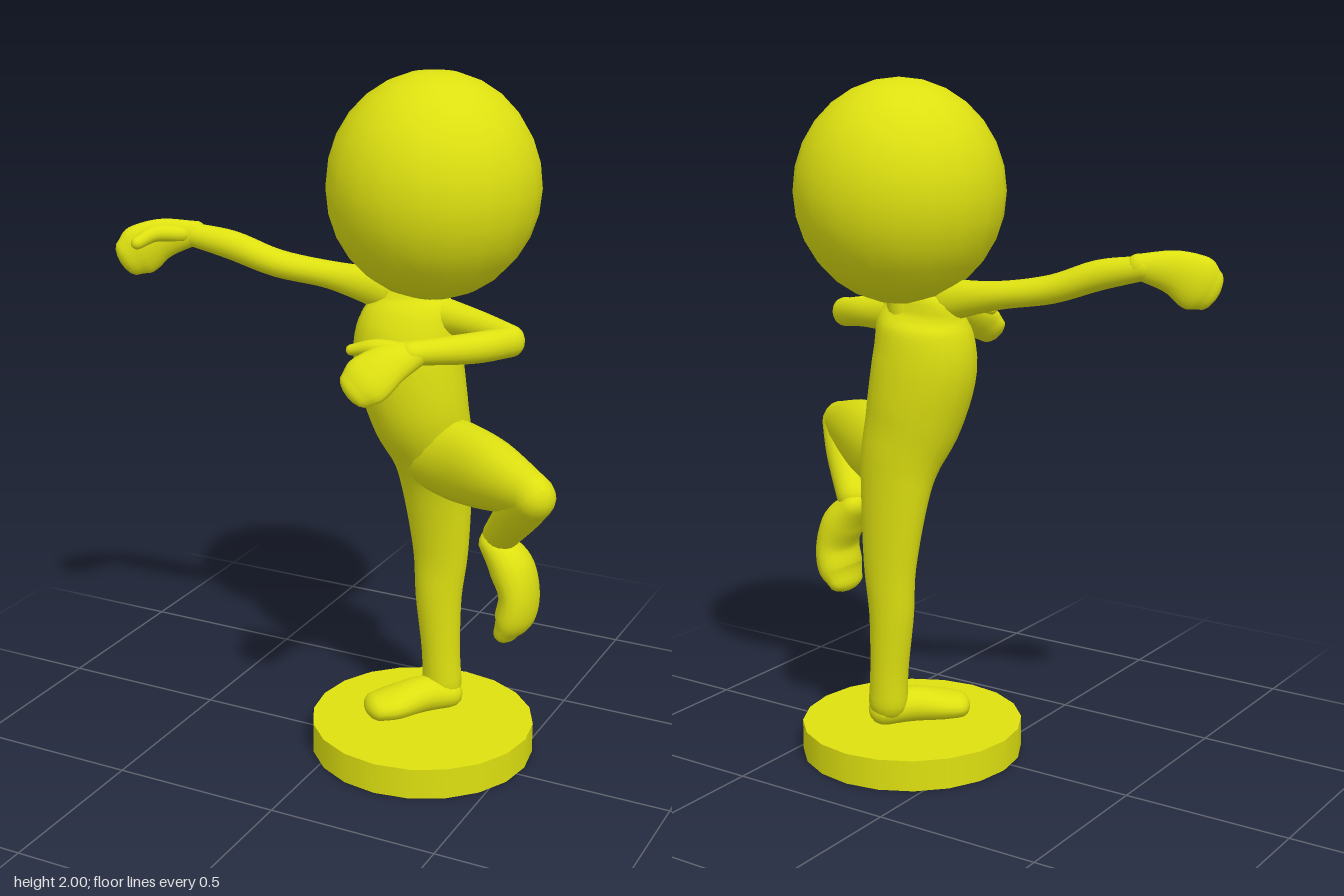
import * as THREE from 'three';

const material = new THREE.MeshStandardMaterial({ color: 0xdde010, roughness: 0.8 });
const SIDES = 18;

// Smooth tube with an oval section and rounded ends.
// points: [x, y, z, a, b]; b is the radius along ref, a the radius across it.
function limb(name, points, ref, steps = 5) {
  const up = new THREE.Vector3(...ref);
  const path = new THREE.CatmullRomCurve3(points.map(p => new THREE.Vector3(p[0], p[1], p[2])), false, 'catmullrom');
  const size = new THREE.CatmullRomCurve3(points.map(p => new THREE.Vector3(p[3], p[4], 0)), false, 'catmullrom');
  const count = (points.length - 1) * steps;
  const rings = [];
  const addRing = (u, angle, sign) => {
    const t = path.getTangent(u), s = size.getPoint(u);
    const c = path.getPoint(u).addScaledVector(t, sign * Math.min(s.x, s.y) * Math.sin(angle));
    const k = Math.cos(angle);
    rings.push({ c, t, a: s.x * k, b: s.y * k });
  };
  for (let i = 4; i > 0; i--) addRing(0, i * Math.PI / 8, -1);
  for (let i = 0; i <= count; i++) addRing(i / count, 0, 0);
  for (let i = 1; i <= 4; i++) addRing(1, i * Math.PI / 8, 1);

  const position = [], index = [];
  rings.forEach(({ c, t, a, b }, i) => {
    const side = up.clone().cross(t).normalize();
    const top = t.clone().cross(side);
    for (let j = 0; j < SIDES; j++) {
      const w = j / SIDES * Math.PI * 2;
      const v = c.clone().addScaledVector(side, a * Math.cos(w)).addScaledVector(top, b * Math.sin(w));
      position.push(v.x, v.y, v.z);
      if (i === rings.length - 1) continue;
      const A = i * SIDES + j, B = i * SIDES + (j + 1) % SIDES;
      index.push(A, B, A + SIDES, B, B + SIDES, A + SIDES);
    }
  });
  const geometry = new THREE.BufferGeometry();
  geometry.setAttribute('position', new THREE.Float32BufferAttribute(position, 3));
  geometry.setIndex(index);
  geometry.computeVertexNormals();
  const mesh = new THREE.Mesh(geometry, material);
  mesh.name = name;
  return mesh;
}

export function createModel() {
  const model = new THREE.Group();
  model.name = 'balancingFigure';

  // Round stand
  const base = new THREE.Mesh(new THREE.CylinderGeometry(0.33, 0.33, 0.092, 20), material);
  base.name = 'base';
  base.position.set(0.215, 0.046, -0.045);
  model.add(base);

  // Large plain head
  const head = new THREE.Mesh(new THREE.SphereGeometry(0.3, 20, 14), material);
  head.name = 'head';
  head.scale.set(1, 1.05, 1);
  head.position.set(0.2, 1.685, -0.103);
  model.add(head);

  model.add(
    limb('neck', [[0.18, 1.32, -0.09, 0.06, 0.06], [0.2, 1.45, -0.1, 0.05, 0.05]], [0, 0, 1]),

    // Torso, running down into the standing leg
    limb('torsoAndStandingLeg', [
      [0.14, 1.365, -0.085, 0.125, 0.06],
      [0.145, 1.31, -0.075, 0.145, 0.11],
      [0.145, 1.2, -0.067, 0.16, 0.135],
      [0.175, 1.05, -0.075, 0.147, 0.135],
      [0.205, 0.92, -0.105, 0.125, 0.105],
      [0.215, 0.8, -0.125, 0.107, 0.08],
      [0.225, 0.6, -0.137, 0.085, 0.062],
      [0.222, 0.45, -0.135, 0.07, 0.06],
      [0.232, 0.28, -0.135, 0.058, 0.056],
      [0.238, 0.17, -0.135, 0.06, 0.055],
    ], [0, 0, 1]),
    limb('standingFoot', [
      [0.255, 0.14, -0.135, 0.055, 0.045],
      [0.2, 0.15, -0.07, 0.06, 0.052],
      [0.14, 0.14, 0.0, 0.072, 0.044],
      [0.105, 0.135, 0.035, 0.065, 0.038],
    ], [0, 1, 0]),

    // Raised leg
    limb('raisedThigh', [
      [0.23, 0.92, -0.09, 0.1, 0.115],
      [0.34, 0.92, -0.03, 0.095, 0.118],
      [0.47, 0.93, 0.055, 0.085, 0.1],
      [0.615, 0.93, 0.15, 0.06, 0.062],
    ], [0, 1, 0]),
    limb('raisedShin', [
      [0.62, 0.925, 0.152, 0.06, 0.06],
      [0.555, 0.85, 0.09, 0.062, 0.062],
      [0.47, 0.74, 0.01, 0.05, 0.05],
    ], [0, 0, 1]),
    limb('raisedFoot', [
      [0.452, 0.715, 0.005, 0.06, 0.042],
      [0.505, 0.655, 0.01, 0.078, 0.06],
      [0.533, 0.58, 0.012, 0.084, 0.053],
      [0.525, 0.51, 0.012, 0.087, 0.054],
      [0.505, 0.465, 0.012, 0.074, 0.036],
    ], [1, 0, 0]),

    // Right arm, stretched out sideways
    limb('rightArm', [
      [0.06, 1.385, -0.07, 0.05, 0.06],
      [-0.1, 1.41, -0.06, 0.042, 0.04],
      [-0.25, 1.435, -0.025, 0.045, 0.04],
      [-0.38, 1.48, 0.005, 0.042, 0.042],
      [-0.5, 1.505, 0.03, 0.034, 0.034],
    ], [0, 1, 0]),
    limb('rightHand', [
      [-0.49, 1.51, 0.025, 0.035, 0.032],
      [-0.57, 1.495, 0.075, 0.06, 0.035],
      [-0.62, 1.465, 0.115, 0.076, 0.036],
      [-0.645, 1.445, 0.14, 0.06, 0.03],
    ], [1, 0, 1]),
    limb('rightThumb', [
      [-0.52, 1.51, 0.055, 0.03, 0.026],
      [-0.575, 1.515, 0.11, 0.026, 0.024],
      [-0.602, 1.495, 0.162, 0.018, 0.018],
    ], [0, 1, 0]),

    // Left arm, bent across the front
    limb('leftUpperArm', [
      [0.21, 1.33, -0.085, 0.055, 0.055],
      [0.36, 1.32, -0.05, 0.042, 0.042],
      [0.485, 1.305, 0.005, 0.037, 0.043],
    ], [0, 1, 0]),
    limb('leftForearm', [
      [0.487, 1.303, 0.008, 0.036, 0.042],
      [0.42, 1.305, 0.12, 0.043, 0.042],
      [0.3, 1.31, 0.255, 0.035, 0.032],
    ], [0, 1, 0]),
    limb('leftHand', [
      [0.315, 1.31, 0.24, 0.036, 0.032],
      [0.26, 1.285, 0.3, 0.06, 0.035],
      [0.22, 1.25, 0.345, 0.072, 0.034],
      [0.195, 1.225, 0.365, 0.058, 0.028],
    ], [0.3, 0.6, 0.7]),
    limb('leftThumb', [
      [0.29, 1.315, 0.26, 0.028, 0.024],
      [0.21, 1.32, 0.275, 0.025, 0.022],
      [0.14, 1.305, 0.278, 0.017, 0.015],
    ], [0, 1, 0]),
  );
  return model;
}
